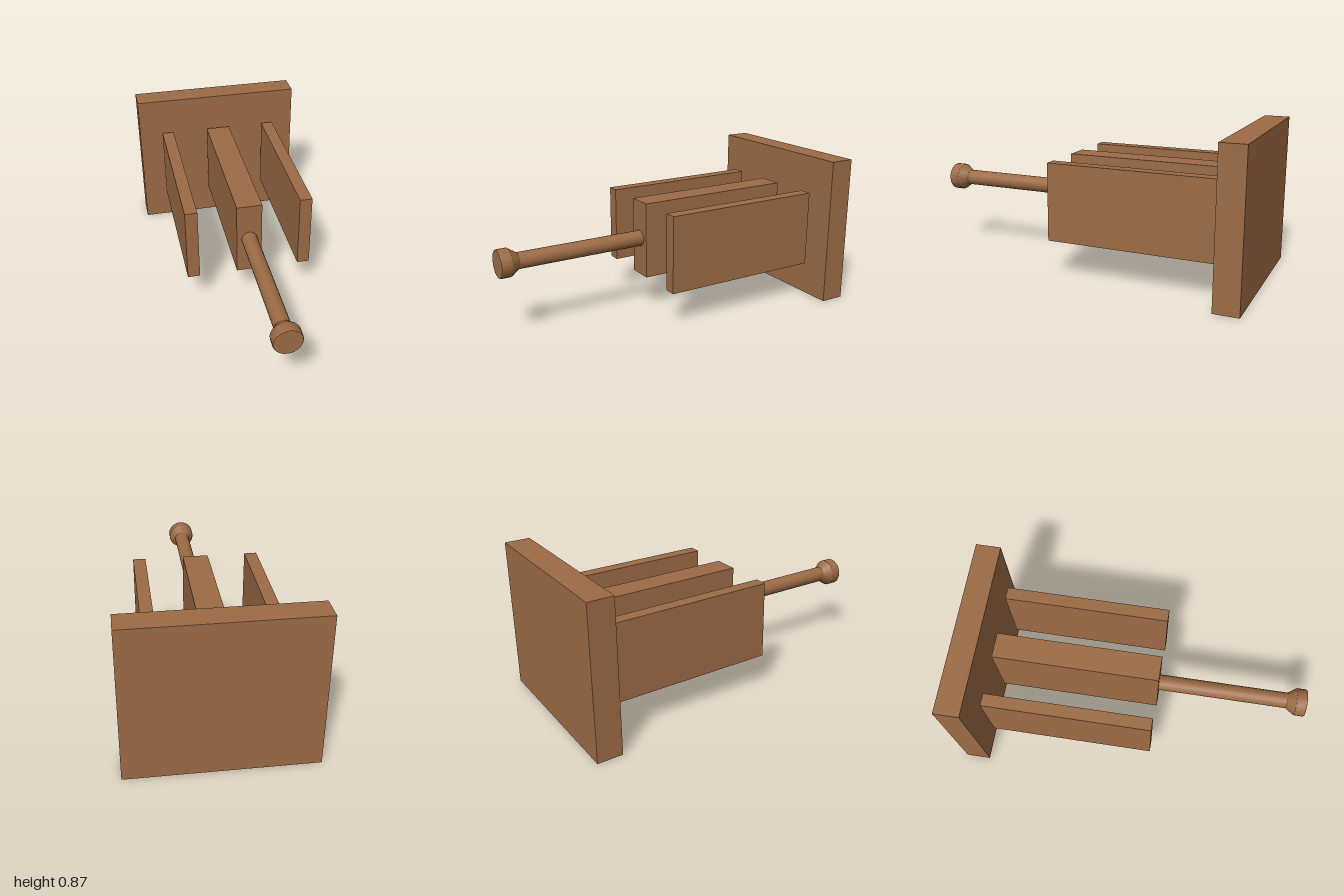
import * as THREE from 'three';
import { toCreasedNormals } from 'three/addons/utils/BufferGeometryUtils.js';

export function createModel() {
  const group = new THREE.Group();
  const wood = new THREE.MeshStandardMaterial({ color: 0x9c6b45 });
  const midY = 0.433;

  const addBlock = (name, x, width, height, back, front) => {
    const mesh = new THREE.Mesh(new THREE.BoxGeometry(width, height, front - back), wood);
    mesh.name = name;
    mesh.position.set(x, midY, (back + front) / 2);
    group.add(mesh);
  };

  // Square back plate
  addBlock('backPlate', 0, 1.02, 0.866, -1, -0.857);

  // Three parallel blocks standing just clear of the plate
  addBlock('centreBlock', 0, 0.148, 0.446, -0.82, 0.138);
  addBlock('leftPanel', 0.332, 0.072, 0.446, -0.82, 0.138);
  addBlock('rightPanel', -0.332, 0.072, 0.446, -0.82, 0.138);

  // Turned handle: round rod flaring into a knob, profile as [radius, z]
  const addTurned = (name, profile) => {
    const points = profile.map(([r, z]) => new THREE.Vector2(r, z));
    const geometry = new THREE.LatheGeometry(points, 20).rotateX(Math.PI / 2);
    const mesh = new THREE.Mesh(toCreasedNormals(geometry, 0.5), wood);
    mesh.name = name;
    mesh.position.y = midY;
    group.add(mesh);
  };
  addTurned('handleRod', [[0, 0.13], [0.046, 0.13], [0.046, 0.89]]);
  addTurned('handleKnob', [[0.046, 0.89], [0.08, 0.94], [0.08, 0.995], [0.077, 1], [0, 1]]);

  return group;
}
